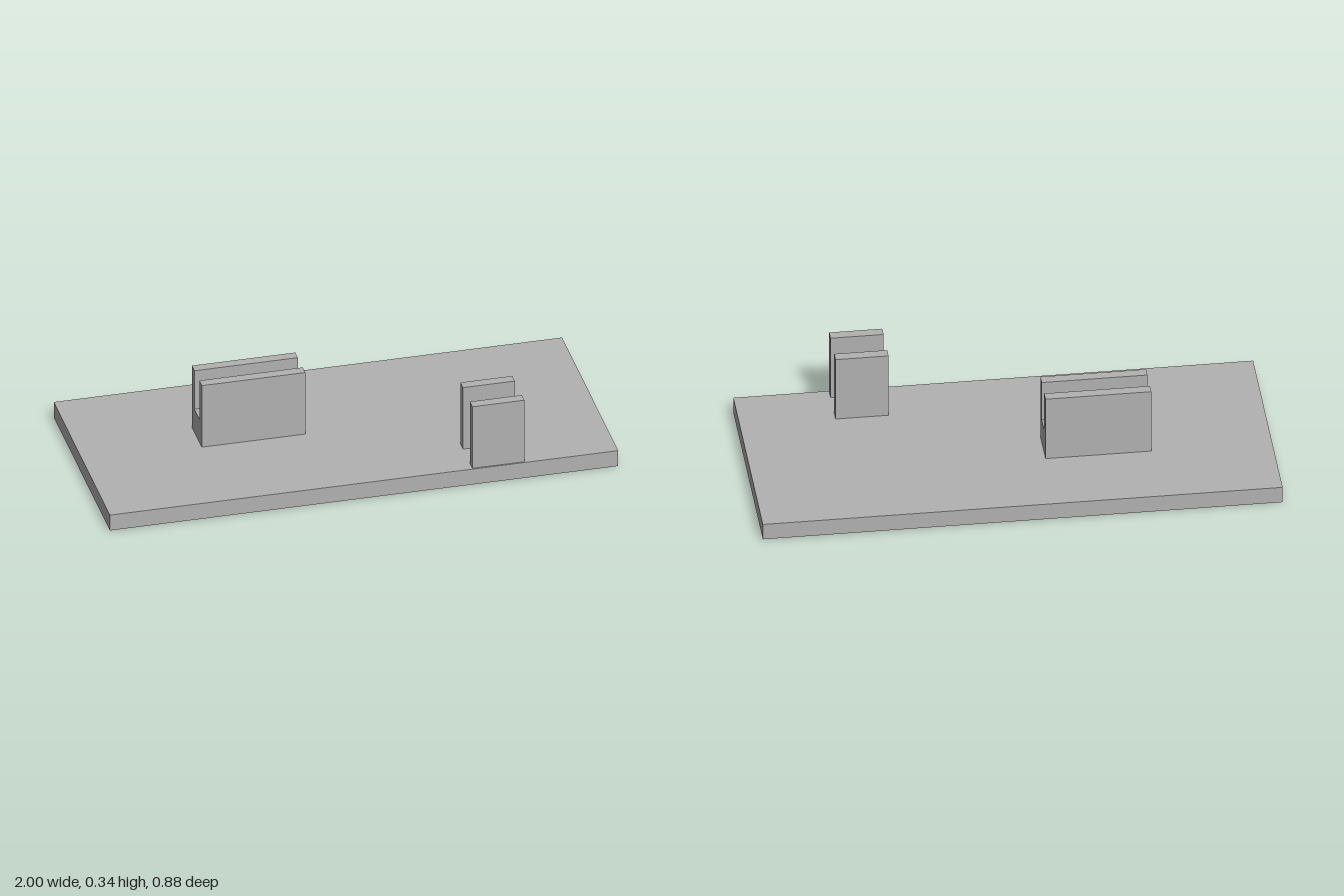
import * as THREE from 'three';

export function createModel() {
  const group = new THREE.Group();
  const grey = new THREE.MeshStandardMaterial({ color: 0xb2b2b2 });
  grey.name = 'grey';

  const add = (name, geometry) => {
    const mesh = new THREE.Mesh(geometry, grey);
    mesh.name = name;
    group.add(mesh);
    return mesh;
  };

  // Flat base slab
  const baseTop = 0.068, top = 0.34;
  add('base', new THREE.BoxGeometry(2, baseTop, 0.88)).position.y = baseTop / 2;

  // U-shaped channel, its section drawn in (-z, y) and extruded along x
  const section = new THREE.Shape([
    [-0.028, baseTop], [0.128, baseTop], [0.128, top], [0.088, top],
    [0.088, 0.17], [0.012, 0.17], [0.012, top], [-0.028, top],
  ].map(([x, y]) => new THREE.Vector2(x, y)));
  const channel = add('channel', new THREE.ExtrudeGeometry(section, { depth: 0.407, bevelEnabled: false }));
  channel.rotation.y = Math.PI / 2;
  channel.position.x = -0.535;

  // Pair of upright plates
  for (const [name, z] of [['frontPlate', 0.414], ['rearPlate', 0.265]]) {
    add(name, new THREE.BoxGeometry(0.204, top - baseTop, 0.04)).position.set(0.53, (top + baseTop) / 2, z);
  }
  return group;
}
